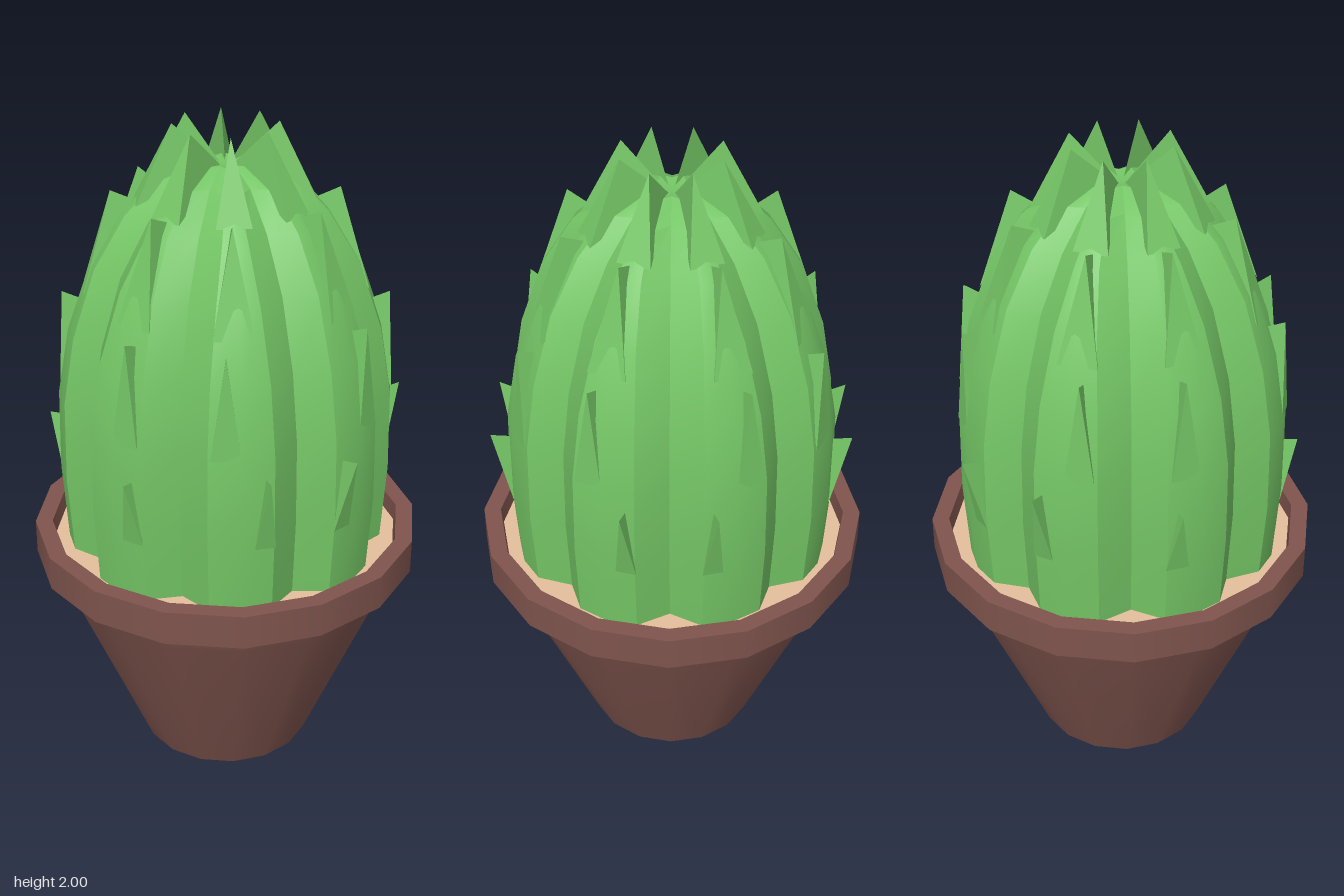
import * as THREE from 'three';
import { toCreasedNormals } from 'three/addons/utils/BufferGeometryUtils.js';

const LOBES = 8;
const DEG = Math.PI / 180;

// Rib profile from soil to crown: [height, rib radius, valley depth factor, shoulder angle]
const PROFILE = [
  [0.68, 0.478, 0.87, 11.5],
  [0.95, 0.495, 0.87, 11.5],
  [1.2, 0.49, 0.87, 11.5],
  [1.4, 0.455, 0.87, 12],
  [1.6, 0.385, 0.86, 13.5],
  [1.75, 0.29, 0.83, 15.5],
  [1.85, 0.19, 0.76, 17],
  [1.89, 0.07, 0.76, 17],
  [1.88, 0, 1, 17],
];

// Thorns: base height, tip height, tip radius, inner height, inner radius, shift and half width in degrees
const UPPER_THORNS = [
  [1.2, 1.5, 0.475, 1.47, 0.4, -5, 5],
  [1.52, 1.81, 0.325, 1.77, 0.23, -2, 8],
  [1.78, 2.0, 0.15, 1.88, 0.02, 0, 11],
];
const OUTER_THORN = [0.92, 1.15, 0.545, 1.13, 0.46, 8, 3.5];
const INNER_THORN = [0.9, 1.1, 0.53, 1.09, 0.46, -7.5, 4];

const polar = (r, degrees, y) => [r * Math.cos(degrees * DEG), y, -r * Math.sin(degrees * DEG)];

function radiusAt(y) {
  const i = PROFILE.findIndex((row) => row[0] >= y);
  const [y0, r0] = PROFILE[i - 1];
  const [y1, r1] = PROFILE[i];
  return THREE.MathUtils.mapLinear(y, y0, y1, r0, r1);
}

function buildGeometry(points, index) {
  const g = new THREE.BufferGeometry();
  g.setAttribute('position', new THREE.Float32BufferAttribute(points.flat(), 3));
  g.setIndex(index);
  return toCreasedNormals(g, 0.45);
}

// Ribbed body: sharp valleys between broad ribs that narrow towards the crown
function bodyGeometry() {
  const points = [];
  const index = [];
  const n = LOBES * 4;
  PROFILE.forEach(([y, r, valley, shoulder], row) => {
    for (let l = 0; l < LOBES; l++) {
      const a = l * 45;
      points.push(
        polar(r * valley, a, y),
        polar(r * 0.995, a + shoulder, y),
        polar(r * 1.01, a + 22.5, y),
        polar(r * 0.995, a + 45 - shoulder, y),
      );
    }
    if (row === 0) return;
    for (let j = 0; j < n; j++) {
      const bl = (row - 1) * n + j;
      const br = (row - 1) * n + ((j + 1) % n);
      index.push(bl, br, br + n);
      if (row < PROFILE.length - 1) index.push(bl, br + n, bl + n);
    }
  });
  return buildGeometry(points, index);
}

// Upright thorns growing out of the ribs; two ribs carry their lowest thorn on the other shoulder
function thornGeometry() {
  const points = [];
  const index = [];
  for (let l = 0; l < LOBES; l++) {
    const side = l % 2 ? -1 : 1;
    const lowThorn = l === 4 || l === 5 ? INNER_THORN : OUTER_THORN;
    for (const [yBase, yTip, rTip, yIn, rIn, shift, half] of [lowThorn, ...UPPER_THORNS]) {
      const a = (l + 0.5) * 45 + side * shift;
      const r = radiusAt(yBase) * 1.003;
      const o = points.length;
      points.push(
        polar(r, a - half, yBase),
        polar(r, a + half, yBase),
        polar(rIn, a, yIn),
        polar(rTip, a, yTip),
      );
      index.push(o, o + 1, o + 3, o + 1, o + 2, o + 3, o + 2, o, o + 3);
    }
  }
  return buildGeometry(points, index);
}

export function createModel() {
  const clay = new THREE.MeshStandardMaterial({ color: 0x7f544d });
  clay.name = 'clay brown';
  const sand = new THREE.MeshStandardMaterial({ color: 0xe4bf9b });
  sand.name = 'sand';
  const green = new THREE.MeshStandardMaterial({ color: 0x74c565 });
  green.name = 'cactus green';

  const model = new THREE.Group();
  model.name = 'pottedCactus';
  const add = (name, geometry, material, parent = model) => {
    const mesh = new THREE.Mesh(geometry, material);
    mesh.name = name;
    parent.add(mesh);
    return mesh;
  };

  // Tapered pot with an overhanging rim; doubled points keep the edges sharp
  const potProfile = [
    [0, 0], [0.265, 0], [0.265, 0], [0.512, 0.59], [0.512, 0.655], [0.512, 0.655],
    [0.587, 0.655], [0.587, 0.655], [0.587, 0.76], [0.587, 0.76],
    [0.535, 0.76], [0.535, 0.76], [0.525, 0.68],
  ].map(([r, y]) => new THREE.Vector2(r, y));
  add('pot', new THREE.LatheGeometry(potProfile, 16), clay);

  // Soil
  const soil = add('soil', new THREE.CircleGeometry(0.53, 16), sand);
  soil.rotation.x = -Math.PI / 2;
  soil.position.y = 0.71;

  // Cactus
  const cactus = new THREE.Group();
  cactus.name = 'cactus';
  model.add(cactus);
  add('ribbedBody', bodyGeometry(), green, cactus);
  add('thorns', thornGeometry(), green, cactus);

  return model;
}
